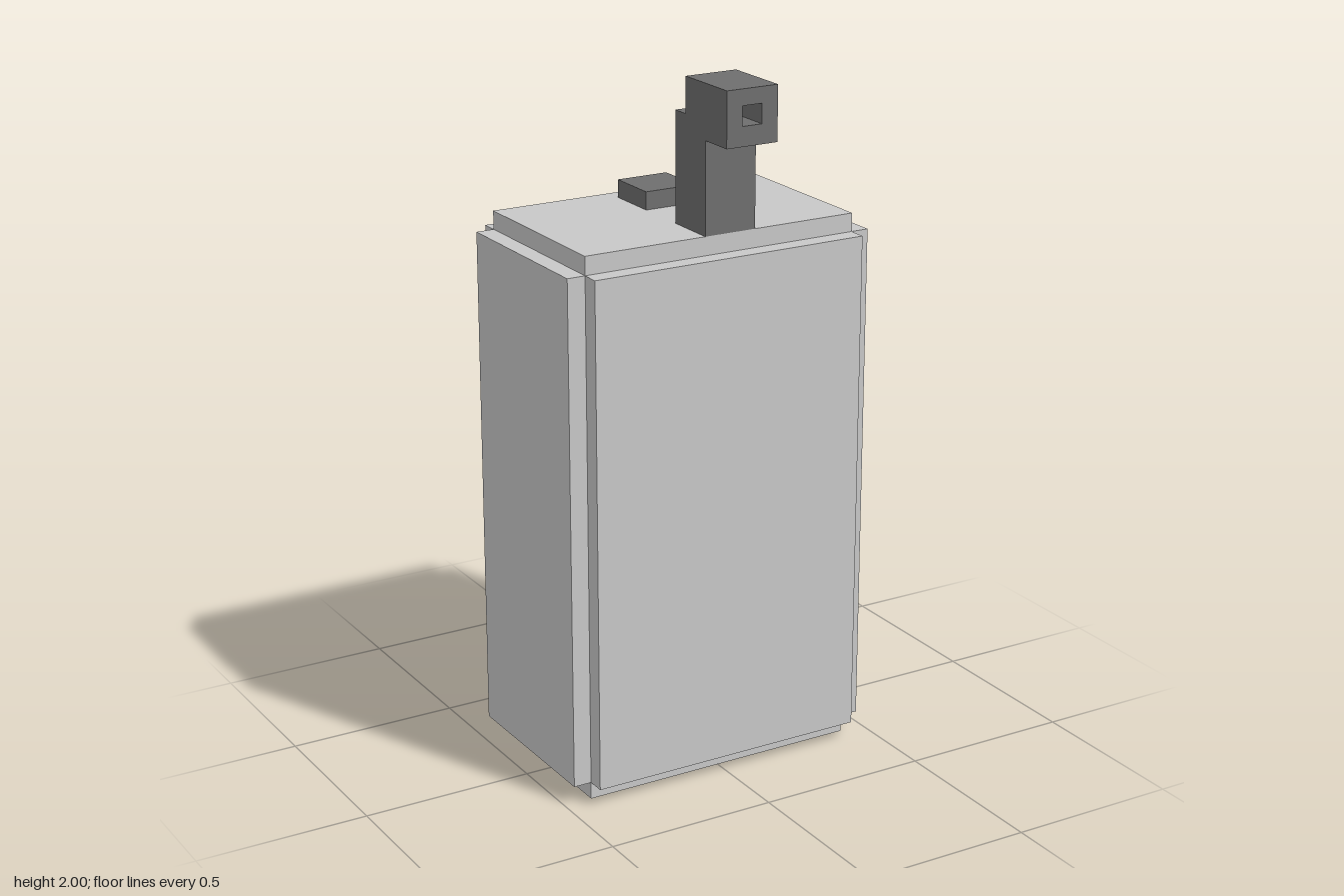
import * as THREE from 'three';

export function createModel() {
  const group = new THREE.Group();
  group.name = 'dispenser';
  const lightGrey = new THREE.MeshStandardMaterial({ color: 0xc8c8c8 });
  lightGrey.name = 'light grey';
  const darkGrey = new THREE.MeshStandardMaterial({ color: 0x6e6e6e });
  darkGrey.name = 'dark grey';

  const add = (name, geometry, material) => {
    const mesh = new THREE.Mesh(geometry, material);
    mesh.name = name;
    group.add(mesh);
    return mesh;
  };

  // Box given by its extents on each axis
  const box = (name, [x0, x1], [y0, y1], [z0, z1], material) =>
    add(name, new THREE.BoxGeometry(x1 - x0, y1 - y0, z1 - z0), material)
      .position.set((x0 + x1) / 2, (y0 + y1) / 2, (z0 + z1) / 2);

  const rect = (Type, [x0, x1], [y0, y1]) => new Type([
    new THREE.Vector2(x0, y0), new THREE.Vector2(x1, y0),
    new THREE.Vector2(x1, y1), new THREE.Vector2(x0, y1),
  ]);

  // Rectangular frame with a rectangular hole running along z
  const frame = (name, xs, ys, holeXs, holeYs, [z0, z1], material) => {
    const shape = rect(THREE.Shape, xs, ys);
    shape.holes.push(rect(THREE.Path, holeXs, holeYs));
    const geometry = new THREE.ExtrudeGeometry(shape, { depth: z1 - z0, bevelEnabled: false });
    add(name, geometry, material).position.z = z0;
  };

  // Hollow body, open at the back, with raised panels on four sides
  const width = [-0.42, 0.42], panelY = [0.055, 1.53], inside = [-0.37, 0.37];
  frame('bodyShell', width, [0.005, 1.583], inside, [0.2, 1.425], [-0.29, 0.235], lightGrey);
  box('frontPanel', width, panelY, [0.235, 0.288], lightGrey);
  frame('backFrame', width, panelY, inside, [0.38, 1.425], [-0.341, -0.29], lightGrey);
  box('backSill', inside, [0.2, 0.38], [-0.29, -0.235], lightGrey);
  box('leftPanel', [0.42, 0.473], panelY, [-0.29, 0.235], lightGrey);
  box('rightPanel', [-0.473, -0.42], panelY, [-0.29, 0.235], lightGrey);

  // Spout: upright neck and forward head with a square, blind outlet
  const spoutX = [-0.053, 0.104];
  const outletX = [-0.005, 0.055], outletY = [1.9, 1.955];
  box('spoutNeck', spoutX, [1.583, 1.898], [0.078, 0.235], darkGrey);
  frame('spoutHead', spoutX, [1.845, 2], outletX, outletY, [0.132, 0.341], darkGrey);
  box('outletBack', outletX, outletY, [0.132, 0.24], darkGrey);

  // Button on the lid
  box('button', spoutX, [1.583, 1.635], [-0.238, -0.08], darkGrey);

  // Thin octagonal plate under the base
  const w = 0.14, d = 0.085, c = 0.035;
  const plate = new THREE.Shape([
    [w, d - c], [w - c, d], [c - w, d], [-w, d - c],
    [-w, c - d], [c - w, -d], [w - c, -d], [w, c - d],
  ].map(([x, y]) => new THREE.Vector2(x, y)));
  const basePlate = add('basePlate',
    new THREE.ExtrudeGeometry(plate, { depth: 0.005, bevelEnabled: false }), darkGrey);
  basePlate.rotation.x = -Math.PI / 2;
  basePlate.position.z = 0.093;

  return group;
}
